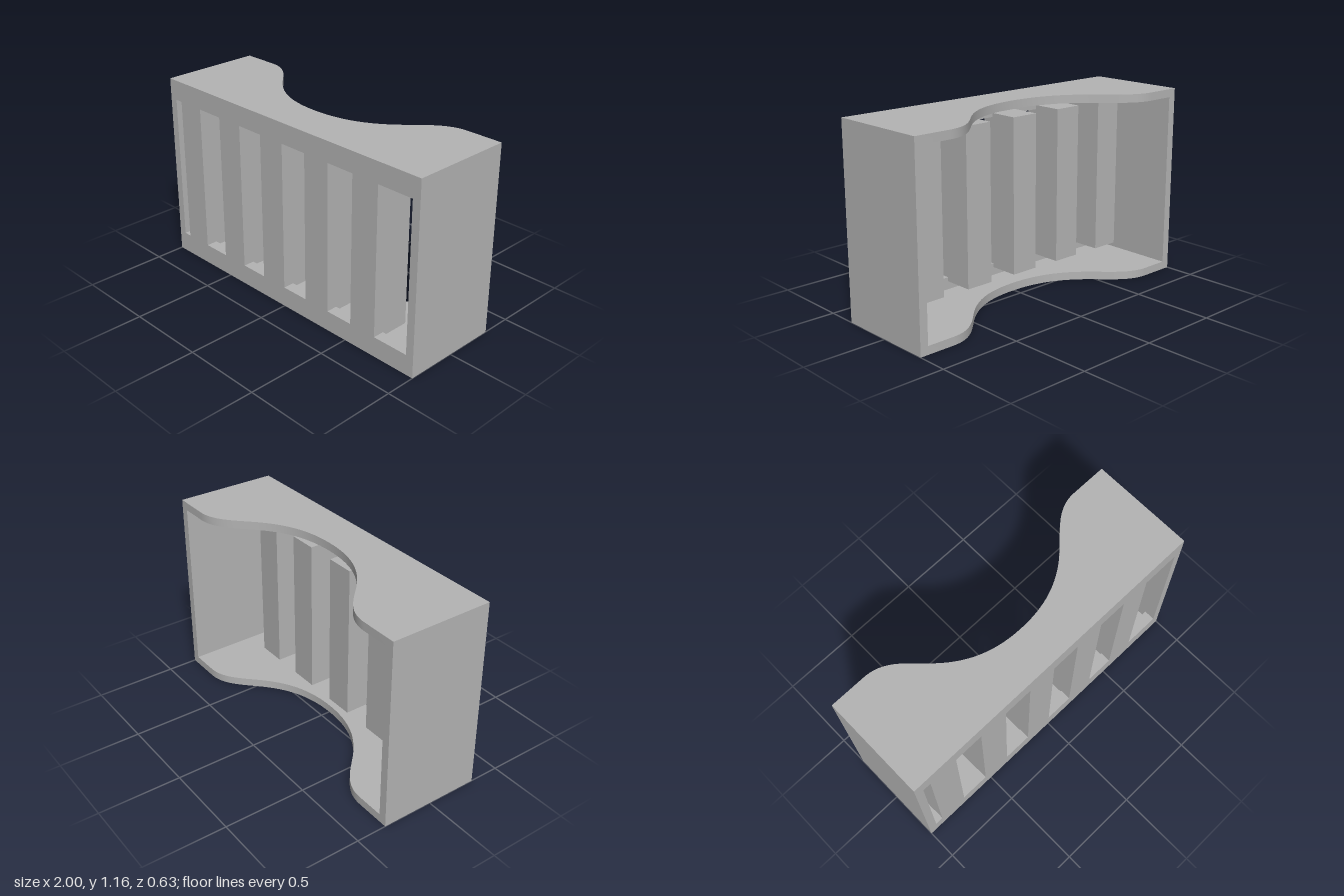
import * as THREE from 'three';
import { toCreasedNormals } from 'three/addons/utils/BufferGeometryUtils.js';

const W = 1, H = 1.165, D = 0.315; // half width, height, half depth
const T = 0.05;                    // board thickness
const GRILLE = 0.07;               // front grille thickness
const SLAT_W = 0.18;

const grey = new THREE.MeshStandardMaterial({ color: 0xb4b4b4 });
grey.name = 'grey';

function add(parent, name, geometry, x = 0, y = 0, z = 0) {
  const mesh = new THREE.Mesh(geometry, grey);
  mesh.name = name;
  mesh.position.set(x, y, z);
  parent.add(mesh);
  return mesh;
}

// Floor and roof outline: straight front, scooped back (shape y is -z)
function boardGeometry() {
  const s = new THREE.Shape();
  s.moveTo(-W, -D);
  s.lineTo(W, -D);
  s.lineTo(W, D);
  s.lineTo(0.78, D);
  s.bezierCurveTo(0.66, D, 0.59, 0.24, 0.5, 0.15);
  s.bezierCurveTo(0.38, 0.03, 0.24, -0.06, 0, -0.06);
  s.bezierCurveTo(-0.24, -0.06, -0.38, 0.03, -0.5, 0.15);
  s.bezierCurveTo(-0.59, 0.24, -0.66, D, -0.78, D);
  s.lineTo(-W, D);
  s.closePath();
  const g = new THREE.ExtrudeGeometry(s, { depth: T, bevelEnabled: false, curveSegments: 20 });
  g.rotateX(-Math.PI / 2);
  return toCreasedNormals(g, 0.4);
}

function rectangle(path, x0, y0, x1, y1) {
  path.moveTo(x0, y0);
  path.lineTo(x1, y0);
  path.lineTo(x1, y1);
  path.lineTo(x0, y1);
  path.closePath();
  return path;
}

export function createModel() {
  const model = new THREE.Group();
  model.name = 'slattedCabinet';

  // Case
  const board = boardGeometry();
  add(model, 'floor', board);
  add(model, 'roof', board, 0, H - T, 0);
  const wall = new THREE.BoxGeometry(T, H - 2 * T, 2 * D);
  for (const side of [-1, 1]) {
    add(model, side > 0 ? 'leftWall' : 'rightWall', wall, side * (W - T / 2), H / 2, 0);
  }

  // Front grille with six slots between the slats
  const slatX = [0, 1, 2, 3, 4].map((i) => -0.9 + i * 2 * SLAT_W);
  const inner = W - T;
  const grille = rectangle(new THREE.Shape(), -inner, T, inner, H - T);
  const starts = [-inner, ...slatX.map((x) => x + SLAT_W)];
  const ends = [...slatX, inner];
  starts.forEach((x, i) => {
    grille.holes.push(rectangle(new THREE.Path(), x, 0.125, ends[i], H - 0.125));
  });
  add(model, 'frontGrille',
    new THREE.ExtrudeGeometry(grille, { depth: GRILLE, bevelEnabled: false }), 0, 0, D - GRILLE);

  // Deep slats behind the grille, clear of the floor and roof
  const back = 0.06, slatDepth = D - GRILLE - back;
  const slat = new THREE.BoxGeometry(SLAT_W, H - 0.2, slatDepth);
  slatX.forEach((x, i) => {
    add(model, 'slat' + (i + 1), slat, x + SLAT_W / 2, H / 2, back + slatDepth / 2);
  });

  return model;
}
